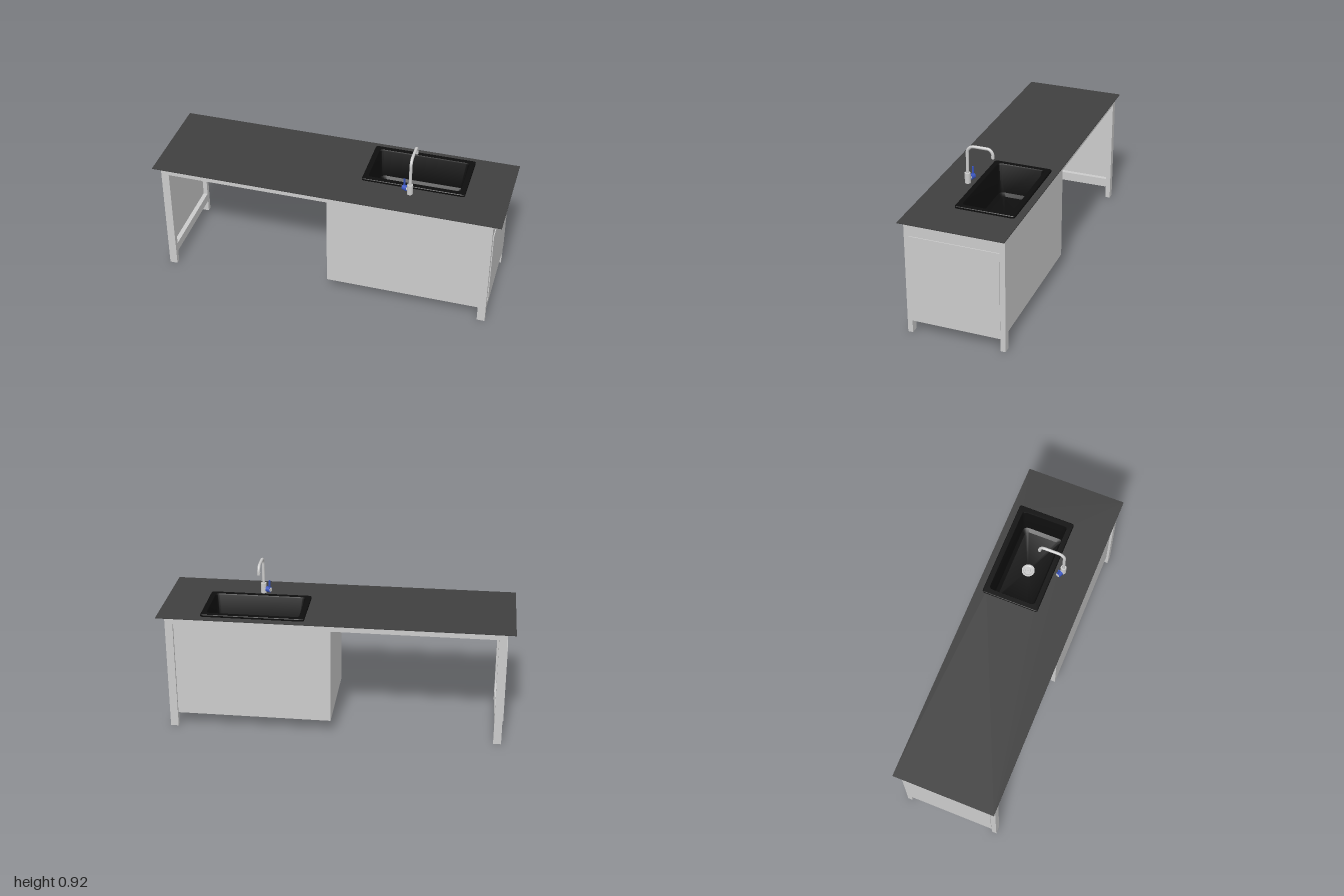
import * as THREE from 'three';
import { toCreasedNormals } from 'three/addons/utils/BufferGeometryUtils.js';

const paint = (color, side = THREE.FrontSide) => new THREE.MeshStandardMaterial({ color, side });
const grey = paint(0xcccccc);
const worktopMat = paint(0x404040);
const sinkMat = paint(0x0d0d0d, THREE.DoubleSide);
const blue = paint(0x3a56c0);

function add(parent, name, geometry, material = grey) {
  const mesh = new THREE.Mesh(geometry, material);
  mesh.name = name;
  parent.add(mesh);
  return mesh;
}

// Box given by its lowest and highest corner
function box(parent, name, [x0, y0, z0], [x1, y1, z1], material) {
  const mesh = add(parent, name, new THREE.BoxGeometry(x1 - x0, y1 - y0, z1 - z0), material);
  mesh.position.set((x0 + x1) / 2, (y0 + y1) / 2, (z0 + z1) / 2);
  return mesh;
}

function rectPoints(x0, y0, x1, y1) {
  return [[x0, y0], [x1, y0], [x1, y1], [x0, y1]].map(p => new THREE.Vector2(...p));
}

// Rounded rectangle ring in the xz plane
function roundedLoop(w, d, r, y, steps = 4) {
  const loop = [];
  for (let c = 0; c < 4; c++) {
    const cx = (c === 0 || c === 3 ? 1 : -1) * (w / 2 - r);
    const cz = (c < 2 ? 1 : -1) * (d / 2 - r);
    for (let i = 0; i <= steps; i++) {
      const a = (c + i / steps) * Math.PI / 2;
      loop.push([cx + r * Math.cos(a), y, cz + r * Math.sin(a)]);
    }
  }
  return loop;
}

// Skin a list of rings of equal length, running from outside inward
function loft(loops) {
  const n = loops[0].length, index = [];
  for (let k = 0; k < loops.length - 1; k++) {
    for (let i = 0; i < n; i++) {
      const a = k * n + i, b = k * n + (i + 1) % n;
      index.push(a, a + n, b, b, a + n, b + n);
    }
  }
  const g = new THREE.BufferGeometry();
  g.setAttribute('position', new THREE.Float32BufferAttribute(loops.flat(2), 3));
  g.setIndex(index);
  return toCreasedNormals(g, 0.6);
}

// End frame with two feet and a window that holds the infill panel
function endFrame(side) {
  const group = new THREE.Group();
  group.name = side > 0 ? 'leftEnd' : 'rightEnd';
  const shape = new THREE.Shape([
    [-0.281, 0], [-0.253, 0], [-0.253, 0.075], [0.253, 0.075], [0.253, 0], [0.281, 0],
    [0.281, 0.685], [-0.281, 0.685],
  ].map(p => new THREE.Vector2(...p)));
  shape.holes.push(new THREE.Path(rectPoints(-0.252, 0.13, 0.252, 0.594)));
  const g = new THREE.ExtrudeGeometry(shape, { depth: 0.045, bevelEnabled: false });
  g.translate(0, 0, -0.0225).rotateY(Math.PI / 2);
  add(group, 'endFrame', g).position.x = side * 0.9305;
  const panel = add(group, 'endPanel', new THREE.BoxGeometry(0.024, 0.464, 0.504));
  panel.position.set(side * 0.946, 0.362, 0);
  return group;
}

function sink() {
  const group = new THREE.Group();
  group.name = 'sink';
  group.position.set(0.4625, 0, -0.0875);
  add(group, 'basin', loft([
    roundedLoop(0.585, 0.335, 0.012, 0.69),
    roundedLoop(0.585, 0.335, 0.012, 0.7),
    roundedLoop(0.579, 0.329, 0.01, 0.703),
    roundedLoop(0.525, 0.275, 0.02, 0.703),
    roundedLoop(0.519, 0.269, 0.02, 0.697),
    roundedLoop(0.5, 0.25, 0.03, 0.53),
    roundedLoop(0.46, 0.21, 0.02, 0.515),
    roundedLoop(0.01, 0.01, 0.004, 0.513),
  ]), sinkMat);
  // Strainer: dished flange with a raised plug
  const profile = [[0.038, 0.513], [0.038, 0.518], [0.03, 0.518], [0.025, 0.514],
    [0.016, 0.514], [0.014, 0.519], [0.005, 0.52], [0.004, 0.526], [0, 0.526]];
  const drain = new THREE.LatheGeometry(profile.map(p => new THREE.Vector2(...p)), 28);
  add(group, 'drain', toCreasedNormals(drain, 0.5), paint(0xcccccc, THREE.DoubleSide));
  return group;
}

function faucet() {
  const group = new THREE.Group();
  group.name = 'faucet';
  group.position.set(0.458, 0.69, 0.127);
  add(group, 'faucetBase', new THREE.CylinderGeometry(0.0165, 0.0165, 0.06, 28)).position.y = 0.03;

  // Spout: upright, bend, level run and downward bend
  const v = (y, z) => new THREE.Vector3(0, y, z);
  const path = new THREE.CurvePath();
  const k = 0.018;
  path.add(new THREE.LineCurve3(v(0.055, 0), v(0.18, 0)));
  path.add(new THREE.CubicBezierCurve3(v(0.18, 0), v(0.18 + 0.022, 0), v(0.22, -k), v(0.22, -0.04)));
  path.add(new THREE.LineCurve3(v(0.22, -0.04), v(0.22, -0.115)));
  path.add(new THREE.CubicBezierCurve3(v(0.22, -0.115), v(0.22, -0.134), v(0.204, -0.148), v(0.182, -0.148)));
  add(group, 'spout', new THREE.TubeGeometry(path, 64, 0.0085, 16));
  const nozzle = add(group, 'nozzle', new THREE.CylinderGeometry(0.009, 0.009, 0.014, 18));
  nozzle.position.set(0, 0.176, -0.148);

  // Mixer handle pointing sideways and a little back
  const handle = new THREE.Group();
  handle.name = 'handle';
  handle.position.y = 0.026;
  handle.rotation.y = -0.4;
  group.add(handle);
  const barrel = (name, r, x0, x1, material) => {
    const g = new THREE.CylinderGeometry(r, r, x1 - x0, 24).rotateZ(Math.PI / 2);
    add(handle, name, g, material).position.x = (x0 + x1) / 2;
  };
  barrel('handleNeck', 0.011, -0.025, 0, grey);
  barrel('handleKnob', 0.016, -0.046, -0.02, blue);
  barrel('handleCap', 0.012, -0.049, -0.046, grey);
  box(handle, 'lever', [-0.043, 0.01, -0.004], [-0.036, 0.057, 0.004], blue);
  return group;
}

export function createModel() {
  const model = new THREE.Group();
  model.name = 'kitchenWorktop';

  // Thin worktop with a cut-out for the sink
  const top = new THREE.Shape(rectPoints(-1, -0.295, 1, 0.295));
  top.holes.push(new THREE.Path(rectPoints(0.185, -0.06, 0.74, 0.235)));
  const topGeo = new THREE.ExtrudeGeometry(top, { depth: 0.005, bevelEnabled: false });
  add(model, 'worktop', topGeo.rotateX(-Math.PI / 2), worktopMat).position.y = 0.685;

  // End frames and the long rails between them
  for (const s of [1, -1]) {
    model.add(endFrame(s));
    const rail = add(model, s > 0 ? 'frontRail' : 'backRail', new THREE.BoxGeometry(1.82, 0.035, 0.028));
    rail.position.set(0, 0.6675, s * 0.267);
  }

  // Cabinet shell, open at the top under the sink
  const cabinet = new THREE.Group();
  cabinet.name = 'cabinet';
  model.add(cabinet);
  const t = 0.012, d = 0.267;
  box(cabinet, 'cabinetBottom', [0.02, 0.08, -d], [0.908, 0.08 + t, d]);
  box(cabinet, 'cabinetFront', [0.02, 0.08 + t, d - t], [0.908, 0.652, d]);
  box(cabinet, 'cabinetBack', [0.02, 0.08 + t, -d], [0.908, 0.652, t - d]);
  box(cabinet, 'cabinetInnerSide', [0.02, 0.08 + t, t - d], [0.02 + t, 0.685, d - t]);
  box(cabinet, 'cabinetOuterSide', [0.908 - t, 0.08 + t, t - d], [0.908, 0.685, d - t]);

  model.add(sink(), faucet());
  return model;
}
